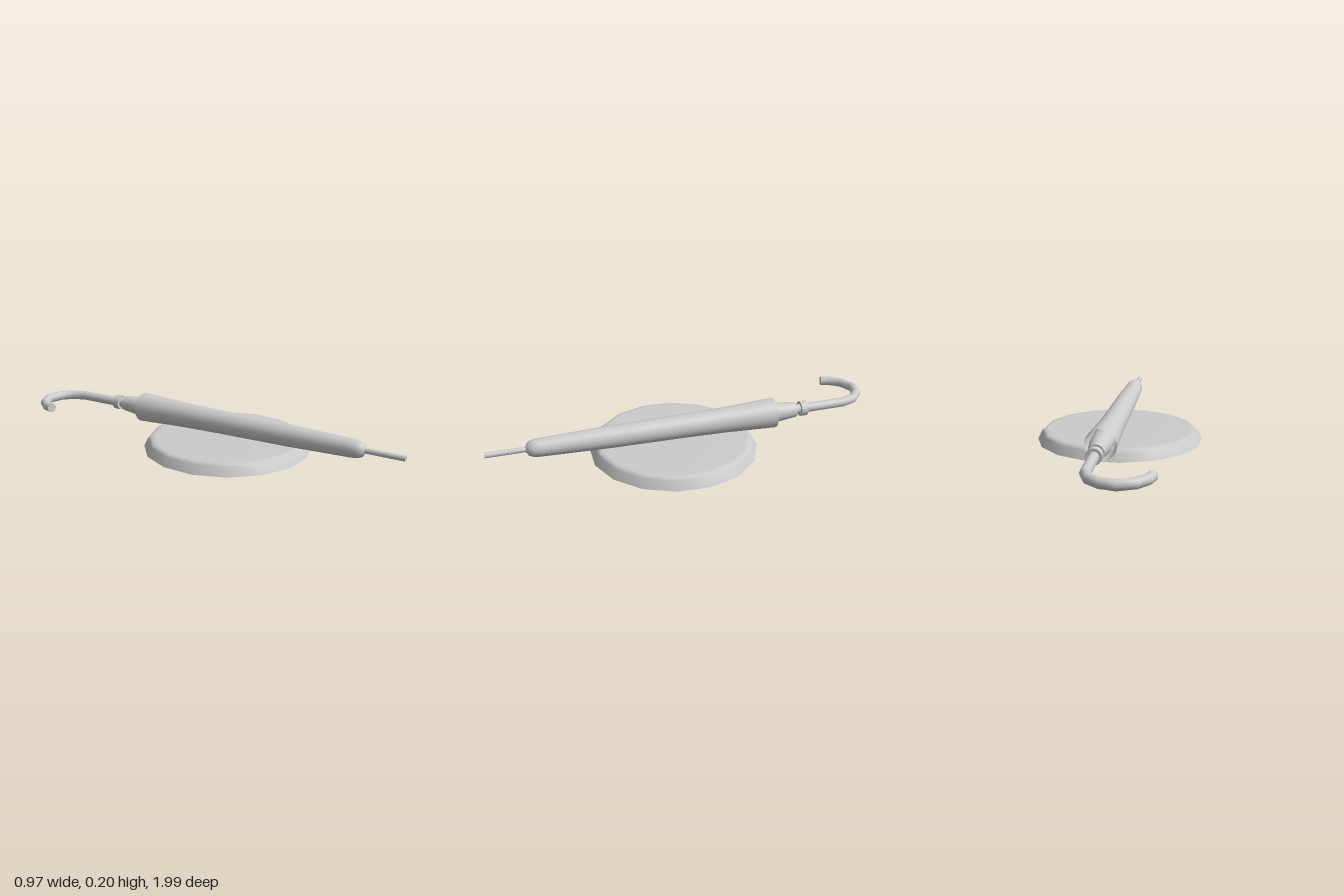
import * as THREE from 'three';

const AXIS_Y = 0.122; // height of the umbrella's axis
const material = new THREE.MeshStandardMaterial({ color: 0xcccccc, side: THREE.DoubleSide });

function addMesh(parent, name, geometry) {
  const mesh = new THREE.Mesh(geometry, material);
  mesh.name = name;
  parent.add(mesh);
  return mesh;
}

// Revolves [radius, height] pairs; runs given as separate lists keep a hard edge.
function addLathe(parent, name, profile, sides) {
  const points = profile.map(([r, h]) => new THREE.Vector2(r, h));
  return addMesh(parent, name, new THREE.LatheGeometry(points, sides));
}

// A path that puts one tube ring on each given point.
class PointPath extends THREE.Curve {
  constructor(points) {
    super();
    this.points = points;
  }
  getPoint(t, target = new THREE.Vector3()) {
    const n = this.points.length - 1;
    const f = Math.min(Math.max(t, 0), 1) * n;
    const i = Math.min(Math.floor(f), n - 1);
    return target.lerpVectors(this.points[i], this.points[i + 1], f - i);
  }
  getPointAt(u, target) {
    return this.getPoint(u, target);
  }
  getTangentAt(u, target = new THREE.Vector3()) {
    const d = 0.5 / (this.points.length - 1);
    return target.copy(this.getPoint(u + d)).sub(this.getPoint(u - d)).normalize();
  }
}

export function createModel() {
  const model = new THREE.Group();
  model.name = 'umbrellaOnDisc';

  // Shallow disc, hollow underneath
  const disc = addLathe(model, 'disc',
    [[0.4375, 0], [0.415, 0.045], [0.402, 0.057], [0.38, 0.06], [0, 0.06]], 16);
  disc.position.set(0.0455, 0, 0.06);

  // Umbrella parts are revolved about one axis, then laid down and turned
  const umbrella = new THREE.Group();
  umbrella.name = 'umbrella';
  umbrella.rotation.order = 'YXZ';
  umbrella.rotation.set(Math.PI / 2, 0.247, 0);
  umbrella.position.set(0.043, AXIS_Y, 0);
  model.add(umbrella);

  // Folded cover, open at its wide end
  addLathe(umbrella, 'canopy', [
    [0.079, -0.493], [0.076, -0.42], [0.067, -0.22], [0.062, 0], [0.057, 0.4],
    [0.047, 0.75], [0.044, 0.785], [0.034, 0.81], [0.014, 0.822],
  ], 24);

  // Gathered ribs showing out of the open end
  addLathe(umbrella, 'ribBundle', [[0.04, -0.618], [0.053, -0.5], [0.056, -0.3]], 24);
  addLathe(umbrella, 'ribBundleEnd', [[0, -0.618], [0.04, -0.618]], 24);

  // Straight cylinders along the axis: name, radius, start, end
  for (const [name, radius, start, end] of [
    ['tip', 0.014, 0.8, 1.022],
    ['shaft', 0.014, -0.5, 0.81],
    ['neck', 0.026, -0.68, -0.6],
    ['collar', 0.04, -0.682, -0.645],
  ]) {
    const part = addMesh(umbrella, name,
      new THREE.CylinderGeometry(radius, radius, end - start, 16));
    part.position.y = (start + end) / 2;
  }

  // Hooked handle lying flat
  const path = [
    [-0.122, -0.65], [-0.183, -0.88], [-0.225, -0.942], [-0.288, -0.975], [-0.365, -0.975],
    [-0.43, -0.922], [-0.459, -0.855], [-0.46, -0.81],
  ].map(([x, z]) => new THREE.Vector3(x, AXIS_Y, z));
  const handle = new THREE.Group();
  handle.name = 'handle';
  model.add(handle);
  addMesh(handle, 'hook',
    new THREE.TubeGeometry(new PointPath(path), path.length - 1, 0.025, 16));
  const cap = addMesh(handle, 'hookEnd', new THREE.CircleGeometry(0.025, 16));
  cap.position.copy(path[path.length - 1]);

  return model;
}
